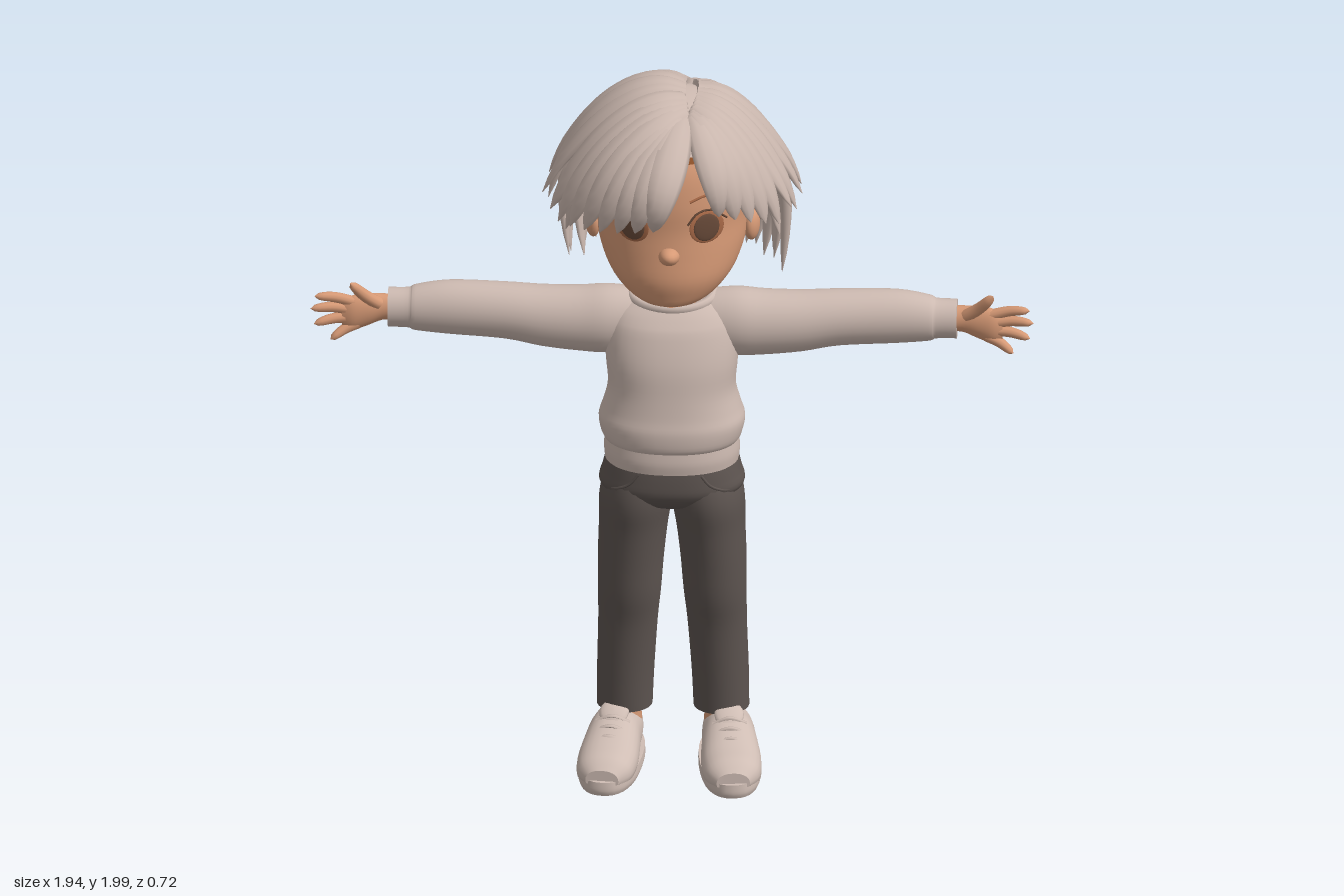
import * as THREE from 'three';

const mat = (name, color, side = THREE.FrontSide) => {
  const m = new THREE.MeshStandardMaterial({ color, side });
  m.name = name;
  return m;
};
const V = (x, y, z) => new THREE.Vector3(x, y, z);
const rad = THREE.MathUtils.degToRad;

// Joins equal rings of points into a closed, capped skin
function skin(rings, capped = true) {
  const n = rings[0].length, pos = [], idx = [];
  rings.forEach(r => r.forEach(p => pos.push(p.x, p.y, p.z)));
  for (let i = 0; i < rings.length - 1; i++) {
    for (let j = 0; j < n; j++) {
      const a = i * n + j, b = i * n + (j + 1) % n;
      idx.push(a, b, b + n, a, b + n, a + n);
    }
  }
  if (capped) [rings[0], rings[rings.length - 1]].forEach((ring, end) => {
    const base = pos.length / 3, mid = V(0, 0, 0);
    ring.forEach(p => { pos.push(p.x, p.y, p.z); mid.addScaledVector(p, 1 / n); });
    pos.push(mid.x, mid.y, mid.z);
    for (let j = 0; j < n; j++) {
      const a = base + j, b = base + (j + 1) % n;
      if (end) idx.push(a, b, base + n); else idx.push(b, a, base + n);
    }
  });
  const g = new THREE.BufferGeometry();
  g.setAttribute('position', new THREE.Float32BufferAttribute(pos, 3));
  g.setIndex(idx);
  g.computeVertexNormals();
  return g;
}

// Smooth loft along an axis; sections are [s, centreA, centreB, radiusA, radiusB]
function loft(axis, sec, { sides = 28, steps = 4, power = 2, adjust = () => {} } = {}) {
  const place = {
    y: (s, a, b) => V(a, s, b), x: (s, a, b) => V(s, b, a), z: (s, a, b) => V(b, a, s),
  }[axis];
  const at = (i, k) => sec[Math.min(Math.max(i, 0), sec.length - 1)][k];
  const sp = v => Math.sign(v) * Math.abs(v) ** (2 / power);
  const rings = [];
  for (let q = 0; q <= (sec.length - 1) * steps; q++) {
    const i = Math.min(Math.floor(q / steps), sec.length - 2), t = q / steps - i;
    const [s, a, b, ra, rb] = [0, 1, 2, 3, 4].map(k => {
      const p0 = at(i - 1, k), p1 = at(i, k), p2 = at(i + 1, k), p3 = at(i + 2, k);
      const m1 = (p2 - p0) / 2, m2 = (p3 - p1) / 2;
      return p1 + m1 * t + (3 * (p2 - p1) - 2 * m1 - m2) * t * t + (2 * (p1 - p2) + m1 + m2) * t ** 3;
    });
    rings.push(Array.from({ length: sides }, (_, j) => {
      const h = j / sides * Math.PI * 2;
      const p = place(s, a + ra * sp(Math.sin(h)), b + rb * sp(Math.cos(h)));
      adjust(p);
      return p;
    }));
  }
  return skin(rings);
}

// Tapering strand along a path, flattened along the direction given by normalAt
function sweep(points, size, normalAt, segs = 14, sides = 10) {
  const curve = new THREE.CatmullRomCurve3(points), rings = [];
  for (let i = 0; i <= segs; i++) {
    const t = i / segs, p = curve.getPoint(t), d = curve.getTangent(t);
    const b = normalAt(p).clone().cross(d).normalize(), n = d.clone().cross(b), [w, h] = size(t);
    rings.push(Array.from({ length: sides }, (_, j) => {
      const a = j / sides * Math.PI * 2;
      return p.clone().addScaledVector(b, w * Math.cos(a)).addScaledVector(n, h * Math.sin(a));
    }));
  }
  return skin(rings);
}

export function createModel() {
  const root = new THREE.Group();
  root.name = 'child';
  const M = {
    knit: mat('sweater beige', 0xcdbab1), hair: mat('hair beige', 0xc9b6ad, THREE.DoubleSide),
    shoe: mat('shoe beige', 0xcfbdb4), pants: mat('trouser grey', 0x5e5551),
    skin: mat('skin', 0xd79a76), eye: mat('eye brown', 0x684a39), brow: mat('brow brown', 0xa96a48),
    scalp: mat('scalp brown', 0x8c5029, THREE.DoubleSide),
  };
  const add = (name, g, m) => {
    const mesh = new THREE.Mesh(g, m);
    mesh.name = name;
    root.add(mesh);
  };
  const pair = (name, g, m) => {
    add(name + 'Left', g, m);
    const f = g.clone().scale(-1, 1, 1), ix = f.index.array;
    for (let i = 0; i < ix.length; i += 3) [ix[i], ix[i + 1]] = [ix[i + 1], ix[i]];
    f.computeVertexNormals();
    add(name + 'Right', f, m);
  };
  const line = (pts, r) => new THREE.TubeGeometry(new THREE.CatmullRomCurve3(pts), 12, r, 6);

  // Sweater, its neckline dipping at the front
  add('sweaterBody', loft('y', [[0.955, 0, 0.045, 0.175, 0.138], [0.975, 0, 0.048, 0.188, 0.148], [1.02, 0, 0.05, 0.197, 0.149],
    [1.06, 0, 0.05, 0.186, 0.141], [1.12, 0, 0.052, 0.172, 0.131], [1.2, 0, 0.053, 0.178, 0.121], [1.28, 0, 0.043, 0.178, 0.108],
    [1.34, 0, 0.033, 0.16, 0.092], [1.37, 0, 0.026, 0.118, 0.077], [1.378, 0, 0.025, 0.092, 0.062]],
    { sides: 40, power: 2.2, adjust: p => { p.y -= Math.max(0, p.y - 1.3) * (p.z - 0.03) * 4; } }), M.knit);
  add('sweaterHem', loft('y', [[0.9, 0, 0.045, 0.18, 0.142], [0.93, 0, 0.045, 0.183, 0.146], [0.965, 0, 0.046, 0.18, 0.142]],
    { sides: 40, power: 2.2 }), M.knit);
  add('collar', new THREE.TorusGeometry(0.1, 0.013, 10, 40).rotateX(Math.PI / 2).scale(1.1, 1.1, 0.77)
    .rotateX(0.27).translate(0, 1.37, 0.026), M.knit);
  pair('sleeve', loft('x', [[0.08, 0.02, 1.29, 0.07, 0.085], [0.17, 0.024, 1.29, 0.08, 0.096], [0.25, 0.02, 1.287, 0.08, 0.091],
    [0.35, 0.015, 1.29, 0.077, 0.085], [0.45, 0.01, 1.3, 0.072, 0.078], [0.6, 0.005, 1.304, 0.065, 0.075],
    [0.69, 0.005, 1.301, 0.055, 0.064], [0.71, 0.005, 1.3, 0.049, 0.056], [0.765, 0.005, 1.3, 0.047, 0.055]]), M.knit);

  // Hands: palm, thumb and four fingers
  pair('palm', loft('x', [[0.74, 0.005, 1.3, 0.03, 0.036], [0.78, 0.005, 1.3, 0.029, 0.037], [0.82, 0.013, 1.295, 0.027, 0.046],
    [0.86, 0.021, 1.288, 0.023, 0.05], [0.888, 0.026, 1.284, 0.012, 0.036]]), M.skin);
  [[0.79, 1.315, 0.02, 0.865, 1.394, 0.064], [0.85, 1.318, 0.022, 0.962, 1.343, 0.042], [0.86, 1.298, 0.024, 0.972, 1.308, 0.046],
    [0.86, 1.276, 0.024, 0.963, 1.264, 0.048], [0.845, 1.258, 0.022, 0.918, 1.22, 0.05]].forEach(([x, y, z, X, Y, Z], i) => {
    const mid = V((x + X) / 2, (y + Y) / 2 + (i ? 0.004 : -0.008), (z + Z) / 2 - 0.005);
    pair(i ? 'finger' + i : 'thumb', sweep([V(x, y, z), mid, V(X, Y, Z)], t => {
      const r = (i ? 0.0155 : 0.018) * Math.sqrt(1.001 - t ** 6) * (1 - 0.15 * t);
      return [r, r];
    }, () => V(0, 0, 1), 10), M.skin);
  });

  // Trousers
  pair('trouserLeg', loft('y', [[0.14, 0.13, -0.012, 0.075, 0.073], [0.25, 0.127, -0.008, 0.077, 0.082], [0.4, 0.12, 0.012, 0.08, 0.083],
    [0.5, 0.115, 0.027, 0.085, 0.093], [0.6, 0.111, 0.031, 0.089, 0.105], [0.7, 0.104, 0.035, 0.093, 0.118],
    [0.78, 0.097, 0.04, 0.099, 0.13], [0.84, 0.09, 0.044, 0.095, 0.125], [0.9, 0.08, 0.045, 0.085, 0.11]]), M.pants);
  add('trouserSeat', loft('y', [[0.755, 0, 0.038, 0.03, 0.04], [0.785, 0, 0.04, 0.12, 0.105], [0.825, 0, 0.043, 0.192, 0.136],
    [0.87, 0, 0.045, 0.187, 0.139], [0.92, 0, 0.045, 0.174, 0.136]], { sides: 40, power: 2.3 }), M.pants);
  pair('pocketSeam', line([V(0.085, 0.895, 0.174), V(0.11, 0.862, 0.166), V(0.15, 0.84, 0.14), V(0.185, 0.835, 0.09)], 0.004), M.pants);

  // Shoes, toes turned slightly outward
  const turn = g => g.rotateY(0.1).translate(0.148, 0, 0);
  pair('ankle', new THREE.CylinderGeometry(0.048, 0.052, 0.12, 20).translate(0.135, 0.14, -0.01), M.skin);
  pair('sole', turn(loft('y', [[0, 0, 0.11, 0.079, 0.186], [0.015, 0, 0.11, 0.084, 0.191], [0.04, 0, 0.11, 0.083, 0.19]],
    { sides: 36, power: 2.4 })), M.shoe);
  pair('shoeUpper', turn(loft('z', [[-0.076, 0.065, 0, 0.035, 0.035], [-0.06, 0.068, 0, 0.054, 0.058], [0, 0.07, 0, 0.062, 0.069],
    [0.06, 0.07, 0, 0.074, 0.072], [0.12, 0.06, 0, 0.068, 0.078], [0.19, 0.05, 0, 0.057, 0.081], [0.25, 0.045, 0, 0.05, 0.073],
    [0.288, 0.04, 0, 0.03, 0.045]], { power: 2.2, adjust: p => { p.y = Math.max(p.y, 0.03); } })), M.shoe);
  pair('shoeTongue', turn(new THREE.SphereGeometry(1, 16, 10).scale(0.04, 0.014, 0.045).rotateX(0.5).translate(0, 0.143, 0.065)), M.shoe);
  for (let i = 0; i < 3; i++) {
    const z = 0.085 + i * 0.035, y = 0.142 - i * 0.014;
    pair('lace' + i, turn(line([V(-0.045, y - 0.018, z), V(0, y, z + 0.005), V(0.045, y - 0.018, z)], 0.006)), M.shoe);
  }

  // Head
  add('head', loft('y', [[1.388, 0, 0.12, 0.03, 0.03], [1.4, 0, 0.115, 0.08, 0.073], [1.43, 0, 0.095, 0.127, 0.108],
    [1.48, 0, 0.058, 0.17, 0.157], [1.55, 0, 0.02, 0.198, 0.19], [1.62, 0, 0, 0.207, 0.204], [1.7, 0, -0.005, 0.213, 0.21],
    [1.8, 0, 0, 0.193, 0.19], [1.88, 0, 0.01, 0.14, 0.13], [1.92, 0, 0.01, 0.06, 0.06]], { sides: 40 }), M.skin);
  add('neck', new THREE.CylinderGeometry(0.06, 0.084, 0.14, 24).translate(0, 1.43, 0.024), M.skin);
  add('nose', new THREE.SphereGeometry(1, 18, 12).scale(0.029, 0.025, 0.044).rotateX(-0.2).translate(0, 1.556, 0.202), M.skin);
  add('mouth', line([V(-0.05, 1.493, 0.204), V(0, 1.489, 0.212), V(0.05, 1.493, 0.204)], 0.003), M.brow);
  pair('ear', new THREE.SphereGeometry(1, 18, 12).scale(0.02, 0.045, 0.032).rotateY(-0.3).translate(0.214, 1.575, 0.022), M.skin);
  add('nape', new THREE.SphereGeometry(1, 32, 16, Math.PI, Math.PI, 0.5, 2.4).scale(0.211, 0.2, 0.213)
    .translate(0, 1.62, -0.012), M.scalp);

  // Eyes, lids and brows following the curve of the face
  const face = (x, y, lift = 0) => V(x, y, -0.002 + (0.208 + lift) * Math.sqrt(1 - (x / 0.212) ** 2));
  const disc = (w, h, lift) => {
    const p = face(0.1, 1.636, lift);
    return new THREE.SphereGeometry(1, 24, 10).scale(w, h, 0.0048).rotateY(0.47).translate(p.x, p.y, p.z);
  };
  pair('eyeSocket', disc(0.051, 0.047, -0.001), M.brow);
  pair('eye', disc(0.038, 0.04, 0.003), M.eye);
  pair('upperLid', line([face(0.05, 1.648, 0.003), face(0.075, 1.68, 0.003), face(0.11, 1.686, 0.003), face(0.152, 1.65, 0.003)], 0.003), M.eye);
  pair('brow', line([face(0.055, 1.715, 0.002), face(0.1, 1.73, 0.002), face(0.145, 1.715, 0.002)], 0.004), M.brow);

  // Hair guide: ovoid with a longer lower half and a sloping upper back
  const dome = (d, r) => {
    const up = Math.max(d.y, 0);
    return V(d.x * 0.28 * r * (1 - 0.15 * up), 1.68 + d.y * (d.y > 0 ? 0.3 : 0.42) * r,
      -0.02 + d.z * 0.31 * r * (d.z < 0 ? 1 - 0.45 * up : 1));
  };
  const aim = (deg, y) => {
    const dy = (y - 1.68) / (y > 1.68 ? 0.3 : 0.42), h = Math.sqrt(1 - dy * dy);
    return V(Math.sin(rad(deg)) * h, dy, Math.cos(rad(deg)) * h);
  };
  let seed = 7;
  const rnd = () => (seed = (seed * 16807) % 2147483647) / 2147483647;

  // Open shells, high over the forehead and low at the nape
  const shell = (r, drop) => skin(Array.from({ length: 15 }, (_, i) => Array.from({ length: 48 }, (_, j) => {
    const deg = j * 7.5, a = Math.min(deg, 360 - deg);
    const low = 1.86 - drop - 0.31 * THREE.MathUtils.smoothstep(a, 50, 105) - 0.07 * THREE.MathUtils.smoothstep(a, 95, 125);
    const el = THREE.MathUtils.lerp(Math.asin(aim(deg, low).y), 1.55, i / 14);
    return dome(V(Math.sin(rad(deg)) * Math.cos(el), Math.sin(el), Math.cos(rad(deg)) * Math.cos(el)), r);
  })), false);
  add('hairCap', shell(0.94, 0), M.hair);
  add('scalp', shell(0.9, 0.015), M.scalp);

  // One lock swept from the parting over the dome to a flared tip
  const lock = (name, deg, y, flare, w, bulge = 0) => {
    const side = Math.sin(rad(deg)) > 0 ? 1 : -1, c = Math.cos(rad(deg));
    const a = V((0.06 + 0.02 * side) / 0.28, 0.95, (0.02 + 0.15 * c) / 0.31).normalize(), b = aim(deg, y);
    const ang = a.angleTo(b), pts = [];
    for (let i = 0; i <= 7; i++) {
      const t = i / 7;
      const d = a.clone().multiplyScalar(Math.sin((1 - t) * ang)).addScaledVector(b, Math.sin(t * ang)).divideScalar(Math.sin(ang));
      pts.push(dome(d, 0.95 + 0.05 * Math.min(1, t * 5) + (flare - 1) * t ** 4 + bulge * Math.sin(Math.PI * t * t)));
    }
    add(name, sweep(pts, t => {
      const k = (0.5 + 0.5 * Math.sin(Math.PI * Math.min(1, t * 0.9))) * Math.sqrt(1.002 - t ** 4);
      return [w * k, w * 0.5 * k];
    }, p => V(p.x, (p.y - 1.68) * 0.8, p.z + 0.02).normalize(), 18), M.hair);
  };
  for (let i = 0; i < 24; i++) { // long layer, fuller beside the neck
    const deg = 98 + i * 164 / 23, edge = Math.abs(Math.sin(rad(deg)));
    lock('napeLock' + i, deg, 1.405 + 0.04 * rnd() + 0.05 * edge ** 6, 1 + 0.1 * rnd() + 0.16 * edge ** 3, 0.05);
  }
  for (let i = 0; i < 26; i++) { // shorter layer with flipped ends
    const deg = 62 + i * 236 / 25 + 6 * (rnd() - 0.5), edge = Math.abs(Math.sin(rad(deg)));
    lock('flipLock' + i, deg, 1.54 + 0.09 * edge ** 3 + 0.05 * rnd(), 1.04 + 0.07 * rnd() + 0.16 * edge ** 3, 0.038 + 0.014 * rnd(), 0.01);
  }
  for (let i = 0; i < 7; i++) { // swept fringe on the right
    lock('fringeRight' + i, -7 - i * 9, 1.68 - 0.006 * i, 1.1 + 0.022 * i, 0.042 + 0.012 * rnd(), 0.17 - 0.02 * i);
  }
  for (let i = 0; i < 5; i++) { // swept fringe on the left
    lock('fringeLeft' + i, 29 + i * 8.5, 1.7 - 0.015 * i, 1.02 + 0.04 * i, 0.042 + 0.01 * rnd(), 0.06 - 0.008 * i);
  }
  return root;
}
